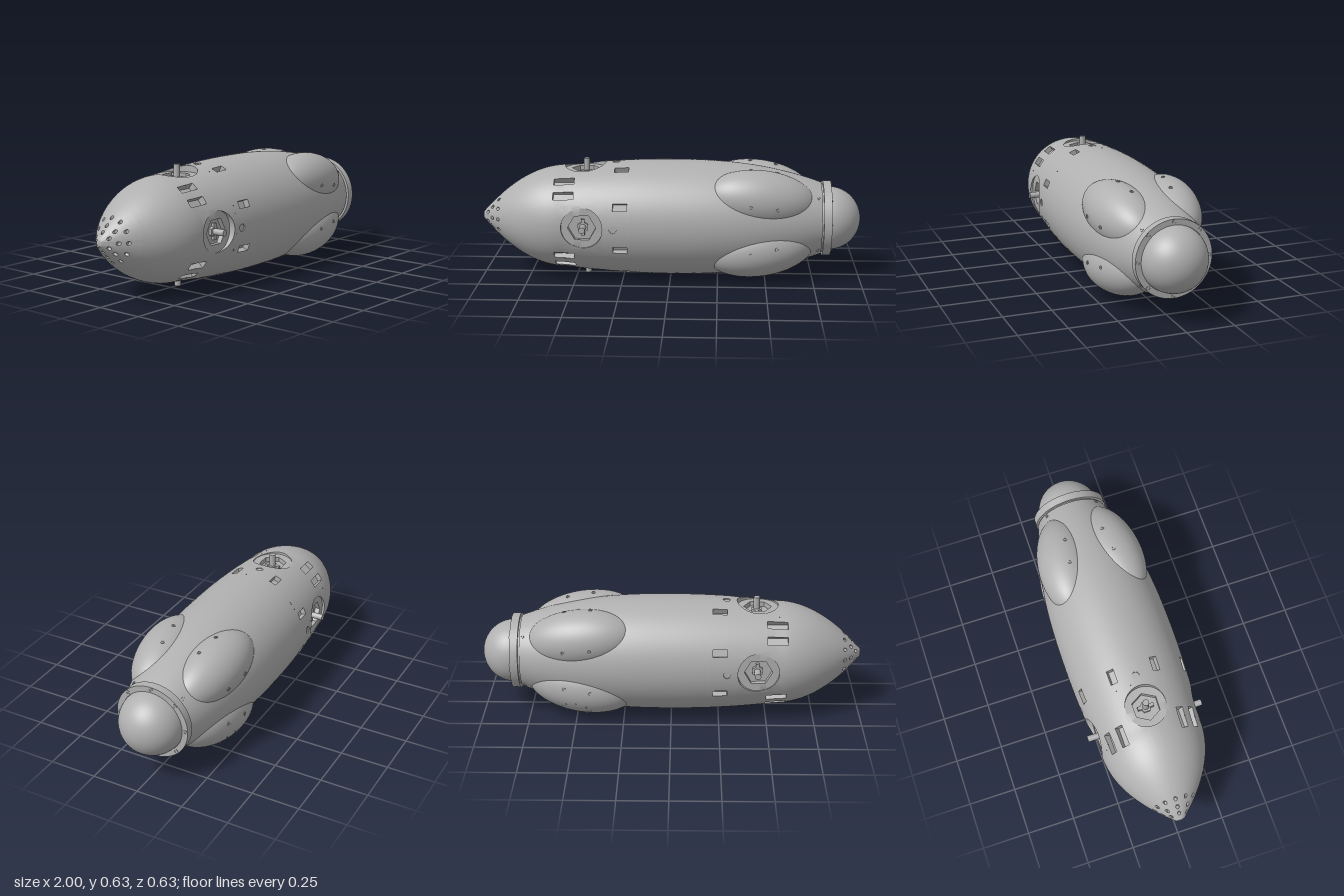
import * as THREE from 'three';
import { toCreasedNormals } from 'three/addons/utils/BufferGeometryUtils.js';

const TAU = Math.PI * 2;
const DEG = Math.PI / 180;
const hullGrey = new THREE.MeshStandardMaterial({ color: 0xb0b0b0 });

// hull radius along the long axis
function hullRadius(x) {
  if (x < -0.55) {
    const t = (-0.55 - x) / 0.45;
    return 0.272 * (0.07 + 0.93 * (1 - t * t));
  }
  return x < 0 ? 0.305 - 0.11 * x * x : 0.305 - 0.207 * Math.pow(x, 2.5);
}

function mesh(name, geometry, parent) {
  const m = new THREE.Mesh(geometry, hullGrey);
  m.name = name;
  parent.add(m);
  return m;
}

// n pivots around the long axis; local +y points outward
function around(n, offset, name, parent, build) {
  for (let i = 0; i < n; i++) {
    const pivot = new THREE.Group();
    pivot.name = name;
    pivot.rotation.x = offset + (i * TAU) / n;
    parent.add(pivot);
    build(pivot, i);
  }
}

// outlines of a pocket as a function of the angle around its centre
const square = (p) => 1 / Math.max(Math.abs(Math.cos(p)), Math.abs(Math.sin(p)));
const circle = () => 1;
const hexagon = (p) => Math.cos(Math.PI / 6) / Math.cos(((p + TAU) % (Math.PI / 3)) - Math.PI / 6);

// each pocket replaces a square patch of the hull: rings are [outline, scale, sunk depth or null]
function pocketRow(n, offset, x, hx, width, rings) {
  const ha = width / hullRadius(x);
  return Array.from({ length: n }, (_, i) => ({ x, a: offset + (i * TAU) / n, hx, ha, rings }));
}
const windowRings = [[square, 1, null], [square, 1, 0.03]];
const holeRings = [[square, 1, null], [circle, 0.75, null], [circle, 0.75, 0.012]];
const thrusterRings = [
  [square, 1, null], [circle, 0.92, null], [circle, 0.88, null], [circle, 0.88, 0.024],
  [hexagon, 0.6, 0.024], [hexagon, 0.6, 0.05],
];

// hull section built from cross-section loops, with sunk pockets
function hullSection(x0, x1, steps, pockets) {
  const pos = [];
  const tri = (...pts) => pts.forEach((p) => pos.push(...p));
  const at = (x, a) => [x, hullRadius(x) * Math.cos(a), hullRadius(x) * Math.sin(a)];
  const lines = (list) => [...new Set(list.map((v) => +v.toFixed(5)))].sort((a, b) => a - b);
  const xs = [], as = [];
  for (let i = 0; i <= steps; i++) xs.push(x0 + ((x1 - x0) * i) / steps);
  for (let i = 0; i <= 96; i++) as.push((i * TAU) / 96);
  for (const p of pockets) {
    xs.push(p.x - p.hx, p.x + p.hx);
    for (const s of [-1, 1]) as.push((p.a + s * p.ha + TAU) % TAU);
  }
  const X = lines(xs), A = lines(as);
  const inside = (x, a) => pockets.some((p) => {
    const d = Math.atan2(Math.sin(a - p.a), Math.cos(a - p.a));
    return Math.abs(x - p.x) < p.hx && Math.abs(d) < p.ha;
  });
  for (let i = 0; i < X.length - 1; i++) {
    for (let j = 0; j < A.length - 1; j++) {
      if (inside((X[i] + X[i + 1]) / 2, (A[j] + A[j + 1]) / 2)) continue;
      const a = at(X[i], A[j]), b = at(X[i], A[j + 1]);
      const c = at(X[i + 1], A[j + 1]), d = at(X[i + 1], A[j]);
      tri(a, b, c);
      tri(a, c, d);
    }
  }
  const N = 48;
  for (const p of pockets) {
    const local = (s, t, depth) => {
      const x = p.x + p.hx * s, r = hullRadius(x), d = p.ha * t;
      const u = depth === null ? r * Math.cos(d) : hullRadius(p.x) - depth;
      const v = r * Math.sin(d);
      return [x, u * Math.cos(p.a) - v * Math.sin(p.a), u * Math.sin(p.a) + v * Math.cos(p.a)];
    };
    const loops = p.rings.map(([shape, scale, depth]) => Array.from({ length: N + 1 }, (_, j) => {
      const f = ((j % N) * TAU) / N, k = shape(f) * scale;
      return local(k * Math.cos(f), k * Math.sin(f), depth);
    }));
    const centre = local(0, 0, p.rings[p.rings.length - 1][2]);
    for (let k = 0; k < loops.length; k++) {
      for (let j = 0; j < N; j++) {
        const o = loops[k], n = loops[k + 1];
        if (n) {
          tri(o[j], n[j], o[j + 1]);
          tri(n[j], n[j + 1], o[j + 1]);
        } else tri(o[j], centre, o[j + 1]);
      }
    }
  }
  const g = new THREE.BufferGeometry();
  g.setAttribute('position', new THREE.Float32BufferAttribute(pos, 3));
  return toCreasedNormals(g, 0.5);
}

// small screw head with a sunk middle, axis +y
function screwGeometry(r) {
  const pts = [[r, -0.004], [r, 0.003], [r * 0.6, 0.003], [r * 0.6, -0.002], [0, -0.002]];
  return toCreasedNormals(new THREE.LatheGeometry(pts.map(([a, b]) => new THREE.Vector2(a, b)), 16), 0.5);
}

export function createModel() {
  const model = new THREE.Group();
  model.name = 'capsule';
  const craft = new THREE.Group();
  craft.name = 'craft';
  craft.position.y = 0.313;
  model.add(craft);

  // nose with rings of small holes
  mesh('nose', hullSection(-1, -0.86, 10, [
    ...pocketRow(6, 0, -0.973, 0.011, 0.011, holeRings),
    ...pocketRow(8, Math.PI / 2, -0.945, 0.012, 0.012, holeRings),
    ...pocketRow(12, 0, -0.91, 0.012, 0.012, holeRings),
  ]), craft);
  const tip = mesh('noseTip', new THREE.SphereGeometry(0.019, 20, 8, 0, TAU, 0, Math.PI / 2), craft);
  tip.rotation.z = Math.PI / 2;
  tip.scale.y = 0.2;
  tip.position.x = -0.9965;

  // forward hull with windows, thruster recesses and ports
  mesh('forwardHull', hullSection(-0.86, -0.2, 30, [
    ...pocketRow(4, 35.8 * DEG, -0.548, 0.053, 0.021, windowRings),
    ...pocketRow(4, 54.2 * DEG, -0.548, 0.053, 0.021, windowRings),
    ...pocketRow(8, 22.5 * DEG, -0.252, 0.037, 0.019, windowRings),
    ...pocketRow(4, 0, -0.45, 0.122, 0.122, thrusterRings),
    ...pocketRow(4, 0, -0.288, 0.024, 0.024, [[square, 1, null], [circle, 0.78, null], [circle, 0.78, 0.006]]),
  ]), craft);
  mesh('aftHull', hullSection(-0.2, 0.79, 40, []), craft);

  // thruster posts standing in the hexagonal recesses
  around(4, 0, 'thruster', craft, (pivot) => {
    const post = mesh('thrusterPost', new THREE.CylinderGeometry(0.0165, 0.0165, 0.093, 24), pivot);
    post.position.set(-0.445, 0.2665, 0);
    const nut = mesh('thrusterNut', toCreasedNormals(new THREE.CylinderGeometry(0.03, 0.03, 0.02, 6), 0.5), pivot);
    nut.position.set(-0.445, 0.238, 0);
    const bar = mesh('thrusterBar', new THREE.BoxGeometry(0.018, 0.022, 0.085), pivot);
    bar.position.set(-0.445, 0.24, 0);
  });

  // four teardrop bulges with screws
  const up = new THREE.Vector3(0, 1, 0);
  around(4, Math.PI / 4, 'bulgeMount', craft, (pivot, i) => {
    const bulge = new THREE.Group();
    bulge.name = 'bulge';
    bulge.position.set(0.47, 0.184, 0);
    bulge.rotation.z = -10 * DEG;
    pivot.add(bulge);
    mesh('bulgeShell', new THREE.SphereGeometry(1, 64, 40).scale(0.29, 0.15, 0.15), bulge);
    const addScrew = (ux, psi, r) => {
      const k = Math.sqrt(1 - ux * ux), c = k * Math.cos(psi), s = k * Math.sin(psi);
      const screw = mesh('bulgeScrew', screwGeometry(r), bulge);
      screw.position.set(0.29 * ux, 0.15 * c, 0.15 * s);
      screw.quaternion.setFromUnitVectors(up, new THREE.Vector3(ux / 0.29, c / 0.15, s / 0.15).normalize());
    };
    for (const sx of [-1, 1]) for (const sp of [-1, 1]) addScrew(sx * 0.24, sp * 52 * DEG, 0.01);
    if (i === 2) {
      for (let k = 0; k < 8; k++) addScrew(0.26 * Math.cos((k * TAU) / 8), 0.4 * Math.sin((k * TAU) / 8), 0.004);
    }
  });

  // docking collar, its bolts and the end dome
  const collarProfile = [[0.19, 0.79], [0.182, 0.79], [0.182, 0.798], [0.198, 0.798], [0.198, 0.84], [0.168, 0.84], [0.166, 0.83]];
  const collar = mesh('collar', toCreasedNormals(
    new THREE.LatheGeometry(collarProfile.map(([r, h]) => new THREE.Vector2(r, h)), 96), 0.5), craft);
  collar.rotation.z = -Math.PI / 2;
  around(8, 0, 'collarBolt', craft, (pivot, i) => {
    const bolt = mesh('collarBoltHead', screwGeometry(0.011), pivot);
    bolt.rotation.z = -Math.PI / 2;
    bolt.position.set(0.84, 0.185, 0);
    if (i % 2) {
      const screw = mesh('aftHullScrew', screwGeometry(0.009), pivot);
      screw.position.set(0.772, hullRadius(0.772), 0);
      screw.rotation.z = -24 * DEG;
    }
  });
  const dome = mesh('dome', new THREE.SphereGeometry(0.167, 64, 24, 0, TAU, 0, Math.PI / 2), craft);
  dome.rotation.z = -Math.PI / 2;
  dome.position.x = 0.833;

  return model;
}
